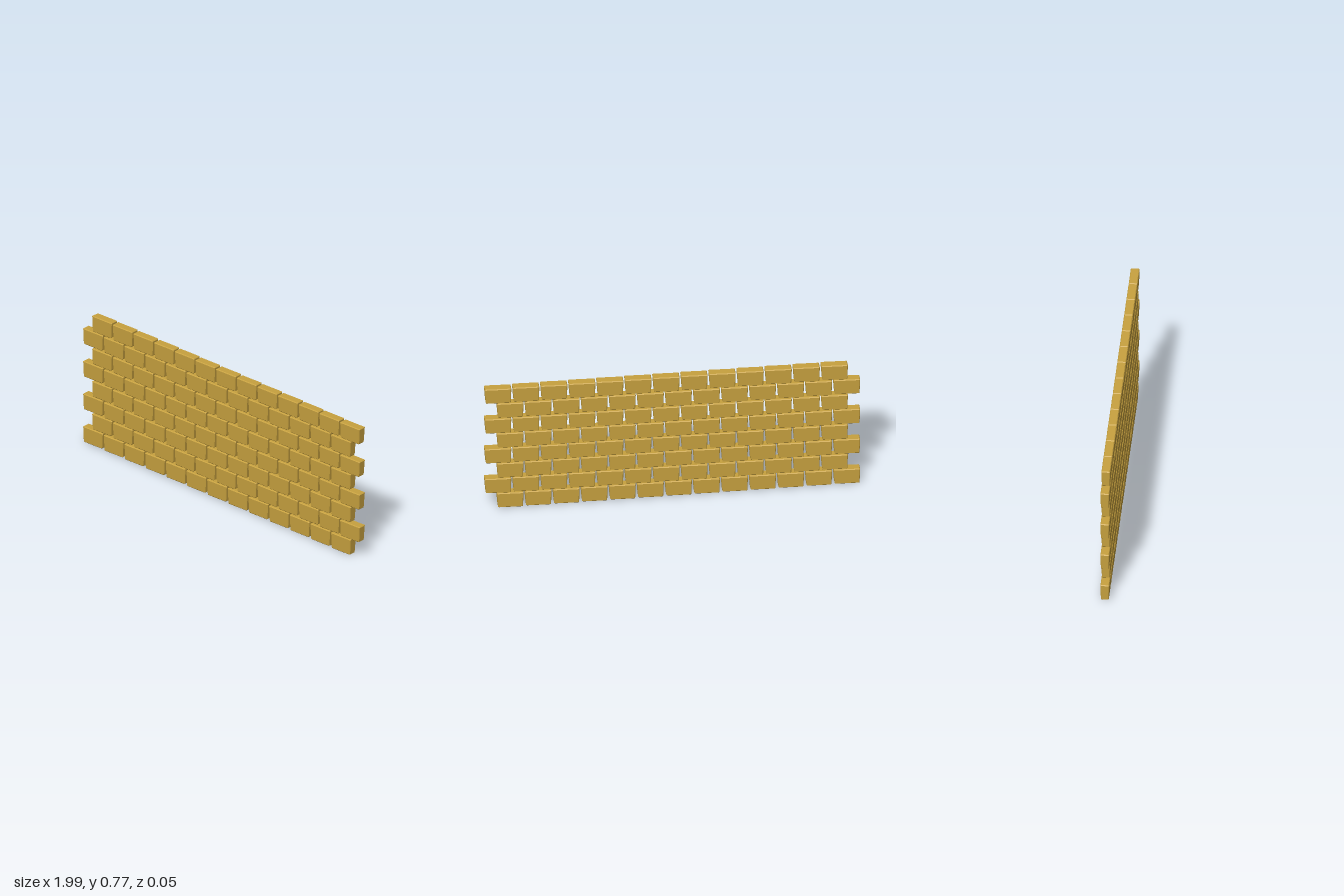
import * as THREE from 'three';
import { ConvexGeometry } from 'three/addons/geometries/ConvexGeometry.js';

const ROWS = 8, COLUMNS = 13;
const PITCH_X = 0.149, PITCH_Y = 0.0969, STAGGER = 0.065;

// One slightly skewed brick with chamfered edges; origin at its lower left corner
function brickGeometry() {
  const w = 0.142, h = 0.093, d = 0.047, c = 0.004;
  const points = [];
  for (const sx of [-1, 1]) for (const sy of [-1, 1]) for (const sz of [-1, 1]) {
    for (let axis = 0; axis < 3; axis++) {
      const inset = [c, c, c];
      inset[axis] = 0;
      let x = w / 2 + sx * (w / 2 - inset[0]);
      let y = h / 2 + sy * (h / 2 - inset[1]);
      let z = sz * (d / 2 - inset[2]);
      const drop = 1 - y / h;
      // the sides draw in towards the bottom, and the right end sits higher
      z *= 1 - 0.11 * drop;
      x += drop * (0.003 - 0.01 * x / w);
      y += 0.004 * x / w;
      points.push(new THREE.Vector3(x, y, z));
    }
  }
  return new ConvexGeometry(points);
}

export function createModel() {
  const wall = new THREE.Group();
  wall.name = 'brickWall';
  const geometry = brickGeometry();
  const material = new THREE.MeshStandardMaterial({ color: 0xc8a23f, flatShading: true });

  // Courses of bricks, every second one shifted sideways
  for (let row = 0; row < ROWS; row++) {
    const course = new THREE.Group();
    course.name = `course${row + 1}`;
    course.position.set(-1 + (row % 2) * STAGGER, row * PITCH_Y, 0);
    for (let column = 0; column < COLUMNS; column++) {
      const brick = new THREE.Mesh(geometry, material);
      brick.name = 'brick';
      brick.position.x = column * PITCH_X;
      course.add(brick);
    }
    wall.add(course);
  }
  return wall;
}
